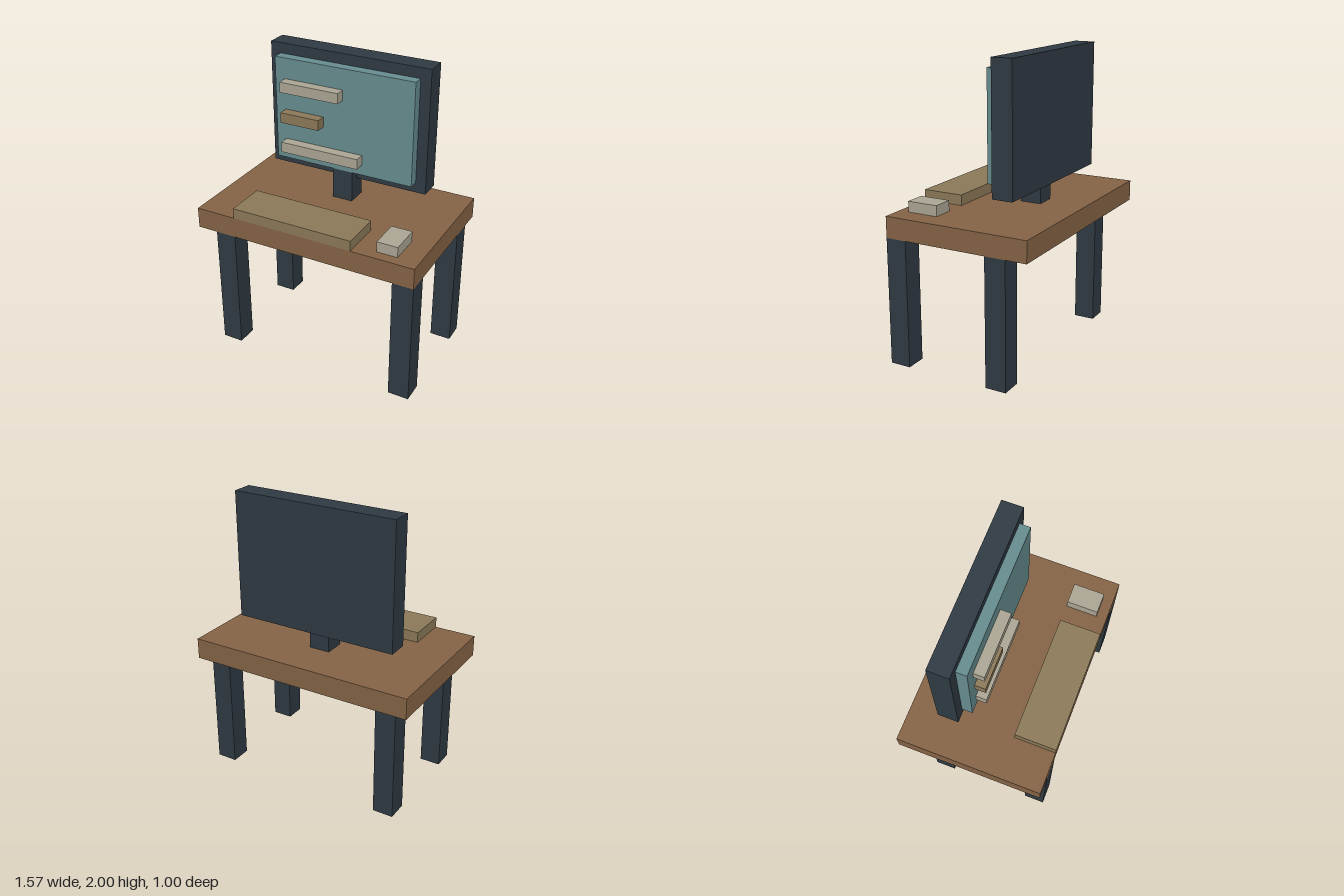
import * as THREE from 'three';

// Everything sits on a grid of 28 steps over the full height
const U = 2 / 28;
const material = (color) => new THREE.MeshStandardMaterial({ color });

export function createModel() {
  const model = new THREE.Group();
  const dark = material(0x303b44);
  const wood = material(0x876547);
  const glass = material(0x688f92);
  const pale = material(0xaea896);
  const tan = material(0x8e7b5a);

  // Box spanning [min, max] on each axis, in grid steps
  function block(name, mat, [x0, x1], [y0, y1], [z0, z1], parent = model) {
    const geometry = new THREE.BoxGeometry((x1 - x0) * U, (y1 - y0) * U, (z1 - z0) * U);
    const mesh = new THREE.Mesh(geometry, mat);
    mesh.position.set((x0 + x1) / 2, (y0 + y1) / 2, (z0 + z1) / 2).multiplyScalar(U);
    mesh.name = name;
    parent.add(mesh);
  }

  // Desk
  const desk = new THREE.Group();
  desk.name = 'desk';
  model.add(desk);
  block('deskTop', wood, [-11, 11], [12, 14], [-7, 7], desk);
  for (const [side, x] of [['Right', -9], ['Left', 9]]) {
    for (const [end, z] of [['front', 5], ['back', -5]]) {
      block(`${end}${side}Leg`, dark, [x, x + 2], [0, 12], [z, z + 2], desk);
    }
  }

  // Monitor with raised screen and bars
  const monitor = new THREE.Group();
  monitor.name = 'monitor';
  model.add(monitor);
  block('monitorStand', dark, [-1, 1], [14, 17], [-3, -1], monitor);
  block('monitorCase', dark, [-8, 8], [16, 28], [-4, -2], monitor);
  block('screen', glass, [-7, 7], [17, 27], [-2, -1], monitor);
  [[24, 0, pale], [21, -2, tan], [18, 2, pale]].forEach(([y, end, mat], i) => {
    block(`screenBar${i + 1}`, mat, [-6, end], [y, y + 1], [-1, 0], monitor);
  });

  // Desk accessories
  block('keyboard', tan, [-7, 5], [14, 15], [3, 7]);
  block('mouse', pale, [7, 9], [14, 15], [3, 6]);

  return model;
}
